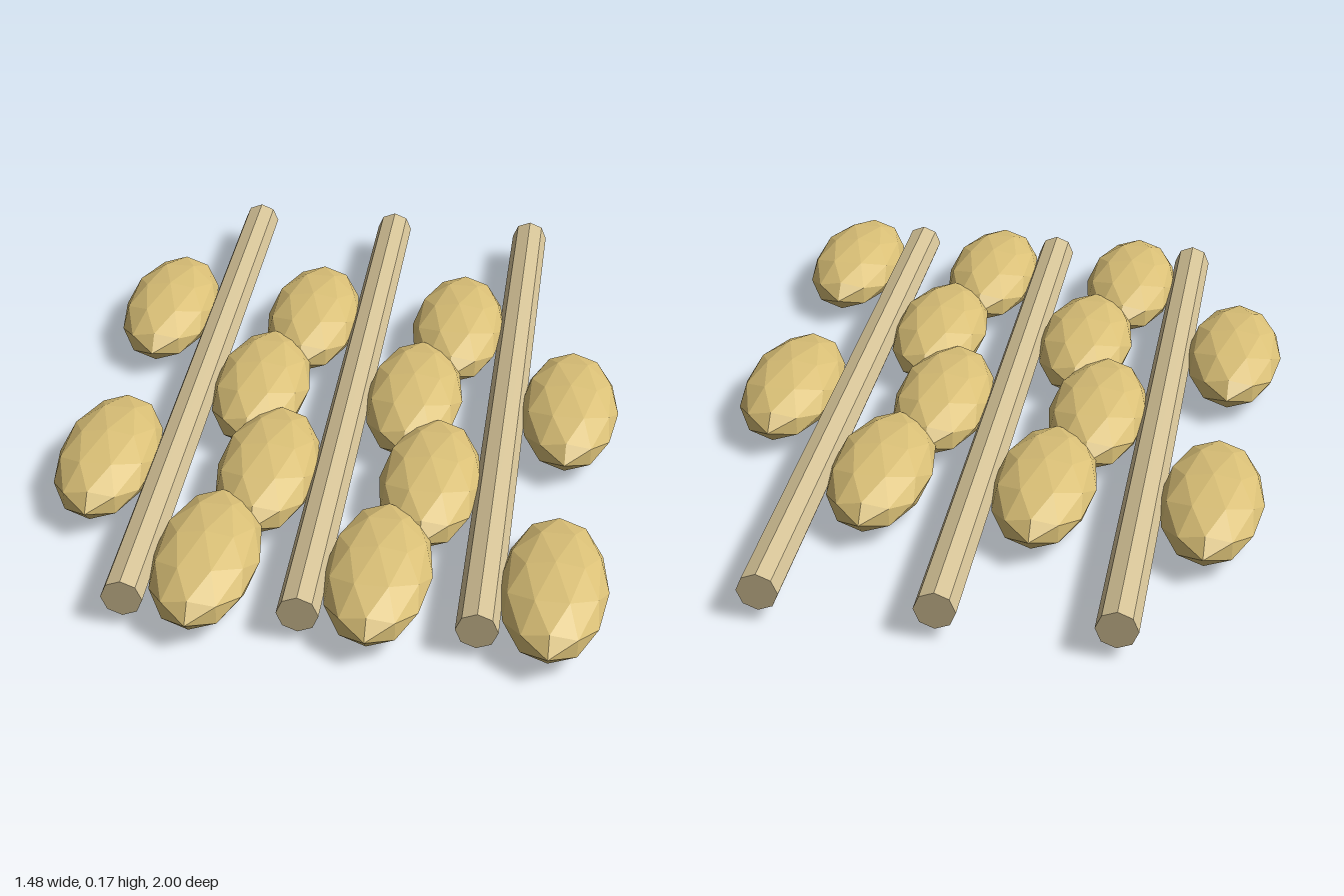
import * as THREE from 'three';

const CENTER_Y = 0.083;

export function createModel() {
  const model = new THREE.Group();
  const stalkMaterial = new THREE.MeshStandardMaterial({ color: 0xd4c296, flatShading: true });
  const grainMaterial = new THREE.MeshStandardMaterial({ color: 0xd9bf76, flatShading: true });

  // Octagonal stalk lying along z
  const stalkGeometry = new THREE.CylinderGeometry(0.052, 0.052, 1.92, 8).rotateX(Math.PI / 2);
  // Faceted, flattened grain, longest along z
  const grainGeometry = new THREE.IcosahedronGeometry(1, 1).scale(0.135, 0.083, 0.265);

  // Grains alternate along both sides of each stalk: [side, z]
  const grainSpots = [[-1, -0.425], [1, -0.04], [-1, 0.345], [1, 0.735]];

  for (const x of [-0.431, 0, 0.431]) {
    const ear = new THREE.Group();
    ear.name = 'ear';
    ear.position.set(x, CENTER_Y, 0);

    const stalk = new THREE.Mesh(stalkGeometry, stalkMaterial);
    stalk.name = 'stalk';
    stalk.position.z = -0.04;
    ear.add(stalk);

    for (const [side, z] of grainSpots) {
      const grain = new THREE.Mesh(grainGeometry, grainMaterial);
      grain.name = side > 0 ? 'leftGrain' : 'rightGrain';
      grain.position.set(side * 0.172, 0, z);
      ear.add(grain);
    }
    model.add(ear);
  }
  return model;
}
